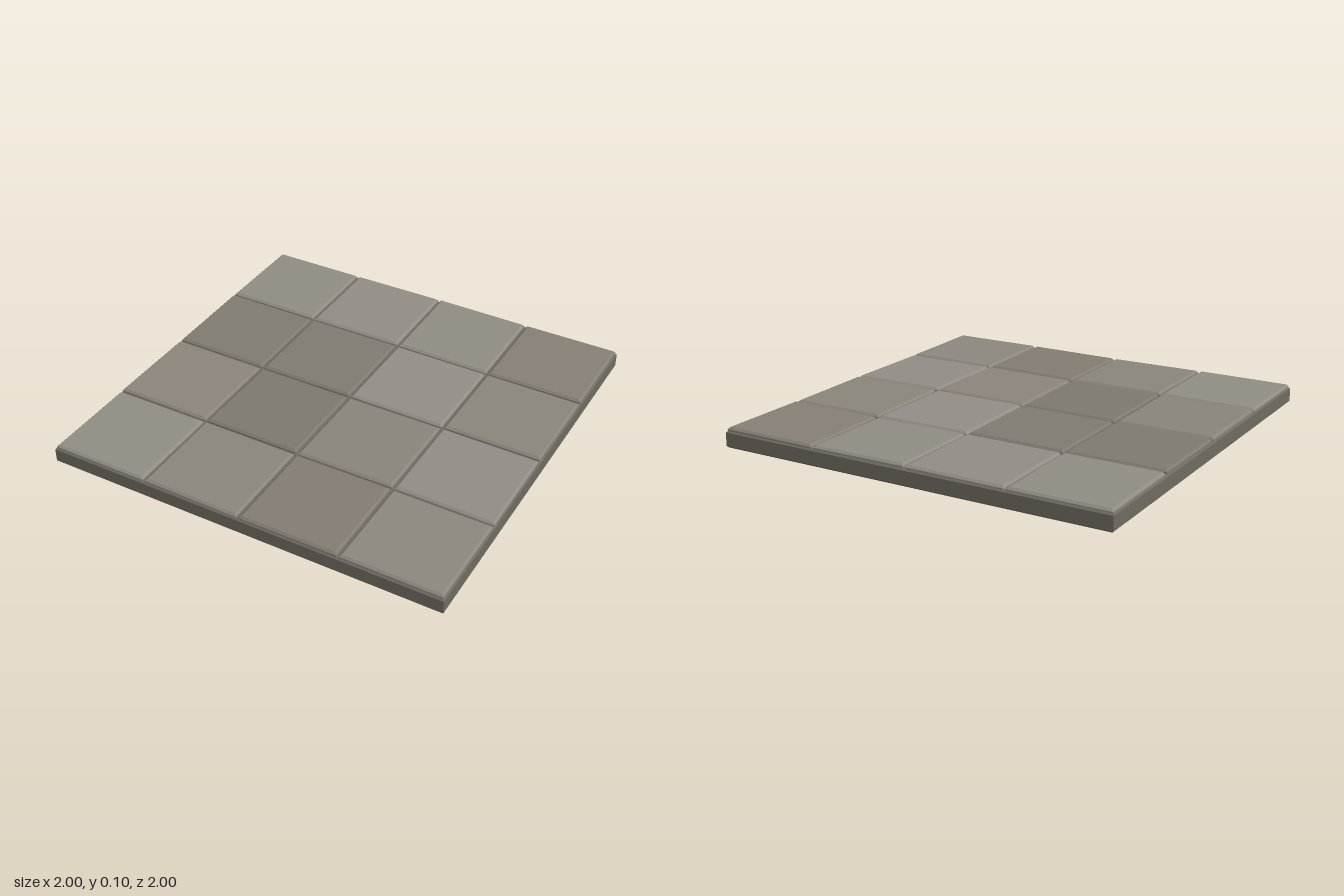
import * as THREE from 'three';

// Square block with chamfered edges: profile is [half width, height] from bottom to top
function squareBlock(profile) {
  const points = profile.map(([half, y]) => new THREE.Vector2(half * Math.SQRT2, y));
  return new THREE.LatheGeometry(points, 4, Math.PI / 4);
}

function flatMesh(geometry, color, name) {
  const flat = geometry.toNonIndexed();
  flat.computeVertexNormals();
  const material = new THREE.MeshStandardMaterial({ color, flatShading: true });
  const mesh = new THREE.Mesh(flat, material);
  mesh.name = name;
  return mesh;
}

export function createModel() {
  const model = new THREE.Group();
  model.name = 'tiledFloor';

  // Base slab, which also shows as the grout between tiles
  model.add(flatMesh(squareBlock([
    [0, 0], [0.992, 0], [1, 0.008], [1, 0.074], [0.993, 0.081], [0, 0.081],
  ]), 0x6f6b61, 'baseSlab'));

  // Stone tints, back row first
  const tints = [
    [0x8f8c82, 0x928c85, 0x8f8c82, 0x857f75],
    [0x7f7a70, 0x7f7a71, 0x928e86, 0x8a857b],
    [0x8a847a, 0x7e786f, 0x8a847b, 0x918d85],
    [0x908d84, 0x8a857c, 0x827c72, 0x8c877e],
  ];

  // Chamfered tiles, each with a very slight lean
  const tiles = new THREE.Group();
  tiles.name = 'tiles';
  tints.forEach((row, r) => row.forEach((tint, c) => {
    const geometry = squareBlock([
      [0, 0.076], [0.243, 0.076], [0.243, 0.088], [0.233, 0.098], [0, 0.098],
    ]);
    const leanX = 0.006 * Math.sin(r * 5.1 + c * 2.3);
    const leanZ = 0.006 * Math.cos(r * 3.7 + c * 4.9);
    const p = geometry.attributes.position;
    for (let i = 0; i < p.count; i++) {
      if (p.getY(i) > 0.08) p.setY(i, p.getY(i) + leanX * p.getX(i) + leanZ * p.getZ(i));
    }
    const tile = flatMesh(geometry, tint, `tile${r + 1}_${c + 1}`);
    tile.position.set(-0.75 + c * 0.5, 0, -0.75 + r * 0.5);
    tiles.add(tile);
  }));
  model.add(tiles);
  return model;
}
